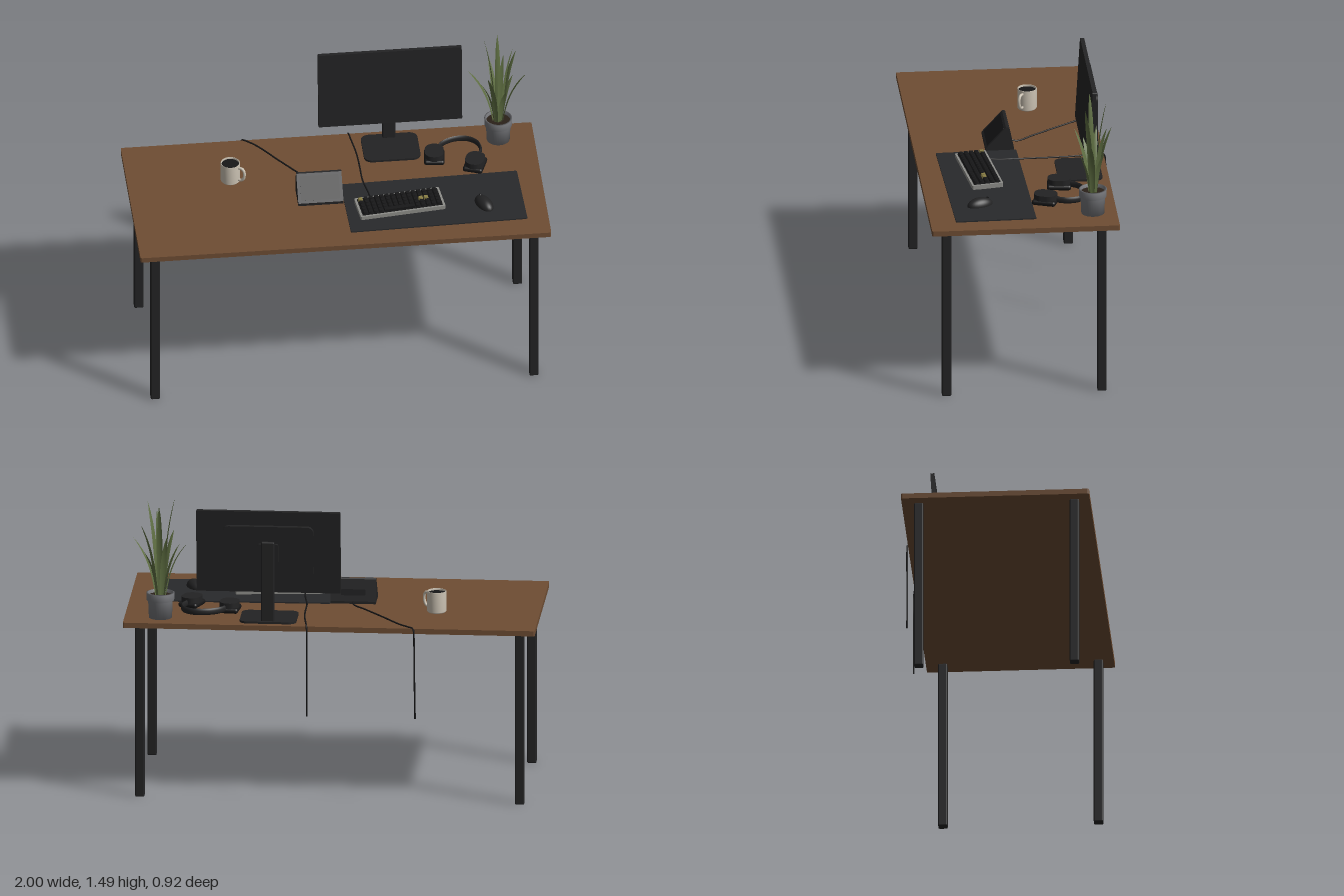
import * as THREE from 'three';
import { mergeGeometries } from 'three/addons/utils/BufferGeometryUtils.js';
import { RoundedBoxGeometry } from 'three/addons/geometries/RoundedBoxGeometry.js';

const mat = (name, color, extra = {}) => {
  const m = new THREE.MeshStandardMaterial({ color, ...extra });
  m.name = name;
  return m;
};

export function createModel() {
  const M = {
    wood: mat('wood', 0x6e4d33),
    black: mat('black', 0x232324),
    mat: mat('deskMat', 0x28292b),
    keys: mat('keyBlack', 0x171718),
    case: mat('keyboardGrey', 0x8c8c88),
    accent: mat('accentKey', 0x8a7f45),
    mug: mat('mugCream', 0xcbc2b3, { side: THREE.DoubleSide }),
    pot: mat('potGrey', 0x75767a, { side: THREE.DoubleSide }),
    leaf: mat('leafGreen', 0x5f6f42, { side: THREE.DoubleSide }),
    soil: mat('soilBrown', 0x2a2019),
  };
  const root = new THREE.Group();
  root.name = 'desk';
  const TOP = 0.89;

  const add = (parent, name, geo, m, x = 0, y = 0, z = 0) => {
    const mesh = new THREE.Mesh(geo, m);
    mesh.name = name;
    mesh.position.set(x, y, z);
    parent.add(mesh);
    return mesh;
  };
  const group = (name, x, y, z, ry = 0) => {
    const g = new THREE.Group();
    g.name = name;
    g.position.set(x, y, z);
    g.rotation.y = ry;
    root.add(g);
    return g;
  };
  // Upright-facing rounded plate, centred in x and y, from z = 0 to depth
  const plate = (w, h, depth, r) => {
    const s = new THREE.Shape();
    const a = w / 2, b = h / 2;
    s.moveTo(-a + r, -b).lineTo(a - r, -b).absarc(a - r, -b + r, r, -Math.PI / 2, 0);
    s.absarc(a - r, b - r, r, 0, Math.PI / 2).absarc(-a + r, b - r, r, Math.PI / 2, Math.PI);
    s.absarc(-a + r, -b + r, r, Math.PI, Math.PI * 1.5);
    return new THREE.ExtrudeGeometry(s, { depth, bevelEnabled: false, curveSegments: 6 });
  };
  const slab = (w, d, h, r) => plate(w, d, h, r).rotateX(-Math.PI / 2);
  const tube = (pts, r, n = 48) =>
    new THREE.TubeGeometry(new THREE.CatmullRomCurve3(pts.map(p => new THREE.Vector3(...p))), n, r, 8);

  // Table
  add(root, 'tableTop', slab(2, 0.912, 0.026, 0.008), M.wood, 0, TOP - 0.026, 0.004);
  for (const x of [-0.922, 0.922]) for (const z of [-0.37, 0.385])
    add(root, 'tableLeg', new RoundedBoxGeometry(0.045, 0.865, 0.045, 2, 0.006), M.black, x, 0.4325, z);

  // Monitor
  const monitor = group('monitor', 0.3, 0, 0);
  add(monitor, 'standBase', slab(0.275, 0.215, 0.01, 0.04), M.black, 0, TOP, -0.312);
  add(monitor, 'standNeck', new RoundedBoxGeometry(0.064, 0.4, 0.02, 2, 0.006), M.black, 0, 1.095, -0.395);
  const panel = new THREE.Group();
  panel.name = 'panel';
  panel.position.set(0, 1.235, -0.348);
  panel.rotation.x = -0.06;
  monitor.add(panel);
  add(panel, 'screen', plate(0.7, 0.41, 0.02, 0.005), M.black, 0, 0, -0.01);
  add(panel, 'backHousing', plate(0.44, 0.27, 0.022, 0.03), M.black, 0, 0, -0.031);
  add(panel, 'mount', plate(0.1, 0.1, 0.02, 0.01), M.black, 0, 0, -0.045);

  // Desk mat
  add(root, 'deskMat', slab(0.862, 0.392, 0.006, 0.008), M.mat, 0.461, TOP, 0.151).rotation.y = 0.026;

  // Keyboard
  const keyboard = group('keyboard', 0.293, TOP + 0.006, 0.17, 0.118);
  keyboard.rotation.x = 0.03;
  add(keyboard, 'keyboardCase', slab(0.42, 0.152, 0.022, 0.006), M.case);
  add(keyboard, 'keyBed', slab(0.398, 0.132, 0.003, 0.004), M.keys, 0, 0.021, 0);
  const keys = [], accents = [];
  for (let row = 0; row < 5; row++) for (let col = 0; col < 15; col++) {
    if (row === 4 && col > 3 && col < 10) continue;
    const key = new THREE.CylinderGeometry(0.0125, 0.0165, 0.012, 4, 1).rotateY(Math.PI / 4);
    key.translate(-0.183 + col * 0.0261, 0.03, -0.052 + row * 0.026);
    (row === 0 && col === 0 || row === 2 && col > 10 && col < 13 ? accents : keys).push(key);
  }
  keys.push(new THREE.BoxGeometry(0.15, 0.012, 0.021).translate(-0.013, 0.03, 0.052));
  add(keyboard, 'keys', mergeGeometries(keys.map(k => k.toNonIndexed())), M.keys);
  add(keyboard, 'accentKeys', mergeGeometries(accents), M.accent);

  // Mouse: flattened dome
  const mouse = group('mouse', 0.7, TOP + 0.006, 0.202, 0.4);
  const dome = new THREE.SphereGeometry(1, 28, 10, 0, Math.PI * 2, 0, Math.PI / 2);
  add(mouse, 'mouseBody', dome, M.black).scale.set(0.037, 0.038, 0.067);
  add(mouse, 'mouseWheel', new THREE.CylinderGeometry(0.008, 0.008, 0.006, 12).rotateZ(Math.PI / 2),
    M.keys, 0, 0.028, -0.04);

  // Wedge-shaped control panel with a sloping face
  const wedge = group('controlPanel', -0.085, TOP, 0);
  const side = new THREE.Shape([[0.115, 0], [0.115, 0.014], [0.016, 0.122], [0.006, 0.124], [0, 0.118],
    [-0.024, 0.012], [-0.024, 0]].map(p => new THREE.Vector2(...p)));
  add(wedge, 'wedgeBody', new THREE.ExtrudeGeometry(side, { depth: 0.22, bevelEnabled: false })
    .rotateY(-Math.PI / 2).translate(0.11, 0, 0), M.black);
  const face = add(wedge, 'slopingFace', plate(0.19, 0.12, 0.004, 0.008), M.keys, 0, 0.068, 0.0655);
  face.rotation.x = -Math.atan2(0.099, 0.108);
  face.translateZ(-0.003);
  const port = add(wedge, 'rearPort', plate(0.12, 0.03, 0.004, 0.006), M.keys, 0, 0.055, -0.0145);
  port.rotation.x = 0.222;

  // Mug
  const mug = group('mug', -0.5, TOP, -0.133, -0.6);
  const profile = [[0, 0], [0.042, 0], [0.047, 0.006], [0.047, 0.104], [0.045, 0.106], [0.043, 0.104], [0.043, 0.09]];
  add(mug, 'mugBody', new THREE.LatheGeometry(profile.map(p => new THREE.Vector2(...p)), 36), M.mug);
  add(mug, 'coffee', new THREE.CylinderGeometry(0.0435, 0.0435, 0.004, 32), M.keys, 0, 0.094, 0);
  add(mug, 'mugHandle', tube([[0.043, 0.088, 0], [0.066, 0.088, 0], [0.077, 0.07, 0], [0.075, 0.04, 0],
    [0.062, 0.022, 0], [0.043, 0.02, 0]], 0.007, 24), M.mug);

  // Headphones lying flat
  const phones = group('headphones', 0, TOP, 0);
  for (const [x, z, ry] of [[0.5, -0.2, -0.1], [0.69, -0.118, -0.35]]) {
    const cup = new THREE.Group();
    cup.name = 'earCup';
    cup.position.set(x, 0, z);
    cup.rotation.y = ry;
    phones.add(cup);
    add(cup, 'cushion', new RoundedBoxGeometry(0.098, 0.026, 0.118, 4, 0.012), M.keys, 0, 0.014, 0);
    add(cup, 'shell', slab(0.092, 0.112, 0.028, 0.042), M.black, 0, 0.024, 0);
  }
  // Headband: a flat strip swept along an arc
  const arc = new THREE.CatmullRomCurve3([[0.51, -0.235], [0.545, -0.285], [0.605, -0.318], [0.67, -0.317],
    [0.715, -0.28], [0.728, -0.22], [0.705, -0.155]].map(([x, z]) => new THREE.Vector3(x, 0.026, z)));
  const strip = new THREE.Shape();
  strip.absellipse(0, 0, 0.007, 0.017, 0, Math.PI * 2);
  const band = new THREE.TubeGeometry(arc, 40, 0.007, 10);
  const bp = band.attributes.position;
  for (let i = 0; i < bp.count; i++) bp.setY(i, 0.026 + (bp.getY(i) - 0.026) * 2.3);
  band.computeVertexNormals();
  add(phones, 'headband', band, M.black);

  // Potted plant
  const plant = group('plant', 0.826, TOP, -0.335);
  const pot = [[0, 0], [0.056, 0], [0.06, 0.085], [0.067, 0.088], [0.068, 0.124], [0.06, 0.126], [0.058, 0.1]];
  add(plant, 'pot', new THREE.LatheGeometry(pot.map(p => new THREE.Vector2(...p)), 32), M.pot);
  add(plant, 'soil', new THREE.CylinderGeometry(0.059, 0.059, 0.006, 28), M.soil, 0, 0.106, 0);
  // Each blade: folded cross-sections widening then tapering to its tip
  const blade = (tx, ty, tz, width) => {
    const N = 9, pos = [], idx = [];
    const out = new THREE.Vector3(tx, 0, tz).normalize();
    const across = new THREE.Vector3(-out.z, 0, out.x);
    for (let i = 0; i <= N; i++) {
      const t = i / N, bend = 0.14 + 0.3 * t + 0.56 * t * t * t;
      const w = width * Math.max(0.001, Math.pow(1 - t, 0.7) * (0.5 + 1.5 * t) * 0.85);
      const y = 0.1 + (ty - 0.1) * t;
      for (const s of [-1, 0, 1]) {
        const fold = s ? -0.3 * w : 0;
        pos.push(tx * bend + across.x * s * w - out.x * fold, y, tz * bend + across.z * s * w - out.z * fold);
      }
      if (i < N) for (const k of [0, 1]) {
        const a = i * 3 + k;
        idx.push(a, a + 3, a + 1, a + 1, a + 3, a + 4);
      }
    }
    const g = new THREE.BufferGeometry();
    g.setAttribute('position', new THREE.Float32BufferAttribute(pos, 3));
    g.setIndex(idx);
    g.computeVertexNormals();
    return g;
  };
  const tips = [[-0.07, 0.6, 0.01], [0.002, 0.575, -0.065], [0.066, 0.57, 0.045], [-0.145, 0.395, -0.03],
    [0.135, 0.395, 0.02], [0.092, 0.48, -0.06], [-0.06, 0.42, 0.085], [0.03, 0.33, 0.075],
    [-0.04, 0.43, -0.095], [0.02, 0.53, 0.04], [-0.09, 0.36, 0.04], [0.075, 0.34, -0.05]];
  for (const [x, y, z] of tips) add(plant, 'leaf', blade(x, y, z, 0.021), M.leaf);

  // Cables trailing off the back edge
  const c = TOP + 0.004;
  add(root, 'panelCable', tube([[-0.085, c + 0.006, -0.02], [-0.09, c, -0.05], [-0.15, c, -0.13], [-0.25, c, -0.265],
    [-0.34, c, -0.39], [-0.385, c, -0.435], [-0.41, c - 0.004, -0.456], [-0.414, 0.86, -0.459],
    [-0.416, 0.7, -0.459], [-0.42, 0.44, -0.459]], 0.004, 90), M.keys);
  add(root, 'keyboardCable', tube([[0.158, c + 0.012, 0.11], [0.152, c + 0.006, 0.05], [0.136, c, -0.06], [0.134, c, -0.17],
    [0.13, c, -0.28], [0.115, c, -0.4], [0.108, c - 0.002, -0.452], [0.106, 0.86, -0.459],
    [0.105, 0.7, -0.459], [0.105, 0.44, -0.459]], 0.004, 90), M.keys);

  return root;
}
